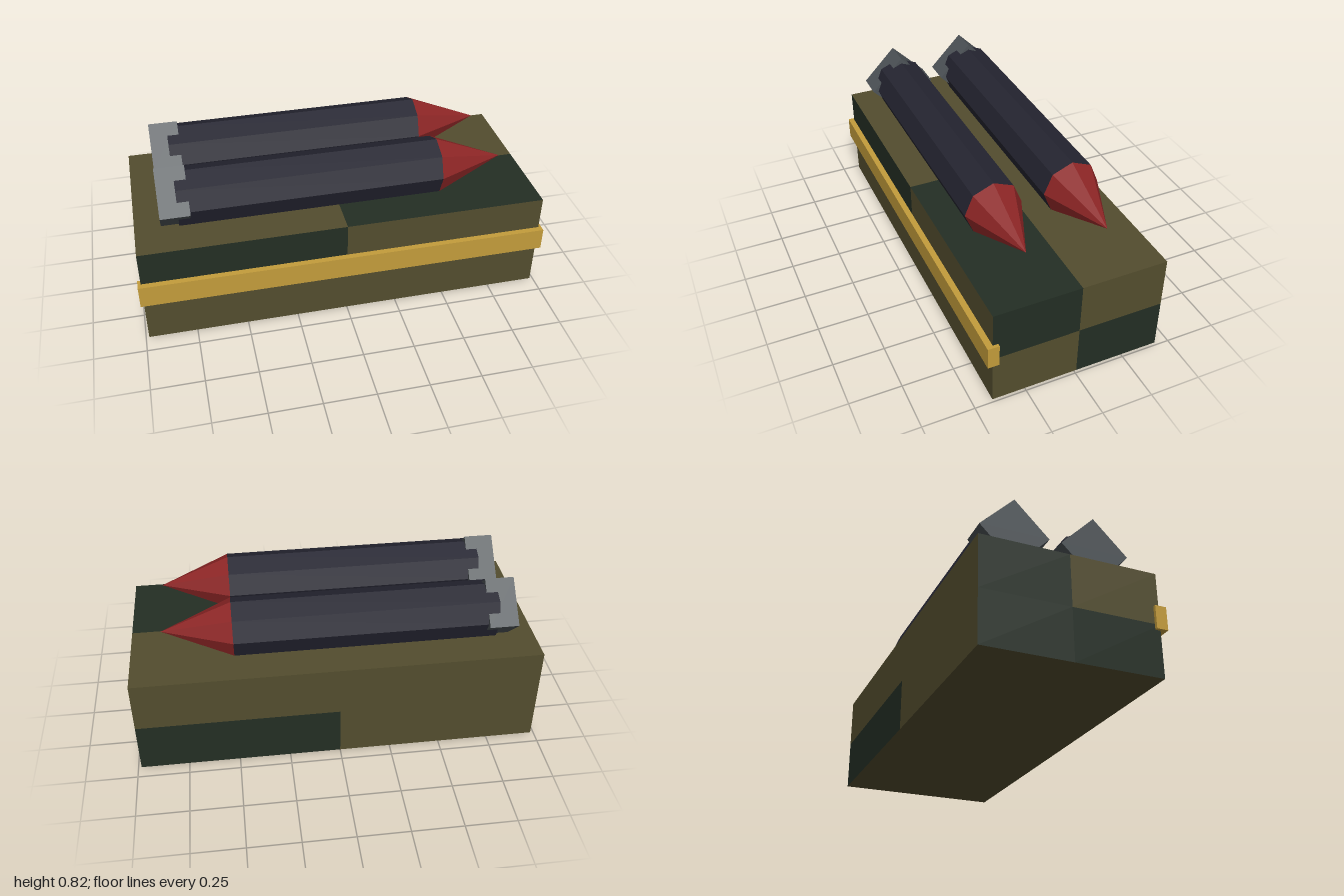
import * as THREE from 'three';

const flat = (name, color) => {
  const m = new THREE.MeshStandardMaterial({ color, flatShading: true });
  m.name = name;
  return m;
};

export function createModel() {
  const olive = flat('olive', 0x534d2e);
  const green = flat('darkGreen', 0x232e24);
  const gold = flat('gold', 0xc39c3b);
  const red = flat('red', 0x8c2525);
  const navy = flat('navy', 0x252531);
  const grey = flat('grey', 0x4e5458);

  const model = new THREE.Group();
  model.name = 'rocketCrate';

  const add = (parent, name, geometry, material, x, y, z) => {
    const mesh = new THREE.Mesh(geometry, material);
    mesh.name = name;
    mesh.position.set(x, y, z);
    parent.add(mesh);
    return mesh;
  };

  // Camouflaged crate: every side is a 2 x 2 grid of patches (0 olive, 1 green),
  // listed top-left, top-right, bottom-left, bottom-right as seen from outside
  const patches = [
    1, 0, 0, 1, // +x
    1, 0, 1, 1, // -x
    0, 0, 0, 1, // top
    0, 0, 0, 0, // bottom
    1, 0, 0, 0, // front
    0, 0, 1, 0, // back
  ];
  const crate = new THREE.BoxGeometry(1.97, 0.508, 0.845, 2, 2, 2);
  crate.clearGroups();
  patches.forEach((p, i) => crate.addGroup(i * 6, 6, p));
  add(model, 'crate', crate, [olive, green], 0, 0.254, -0.013);

  // Gold rail along the front
  add(model, 'frontRail', new THREE.BoxGeometry(2, 0.113, 0.055), gold, 0, 0.283, 0.411);

  // Two rockets lying on the crate, noses towards +x
  const radius = 0.14, tailSide = 0.168 * Math.SQRT2;
  for (const [name, z] of [['frontRocket', 0.184], ['backRocket', -0.211]]) {
    const rocket = new THREE.Group();
    rocket.name = name;
    rocket.position.set(0, 0.65, z);
    model.add(rocket);

    const body = new THREE.CylinderGeometry(radius, radius, 1.265, 8).rotateZ(-Math.PI / 2);
    add(rocket, 'body', body, navy, -0.1425, 0, 0);

    const nose = new THREE.ConeGeometry(radius, 0.335, 8).rotateZ(-Math.PI / 2);
    add(rocket, 'nose', nose, red, 0.6575, 0, 0);

    const tail = new THREE.BoxGeometry(0.14, tailSide, tailSide).rotateX(Math.PI / 4);
    add(rocket, 'tailBlock', tail, grey, -0.79, 0, 0);
  }

  return model;
}
